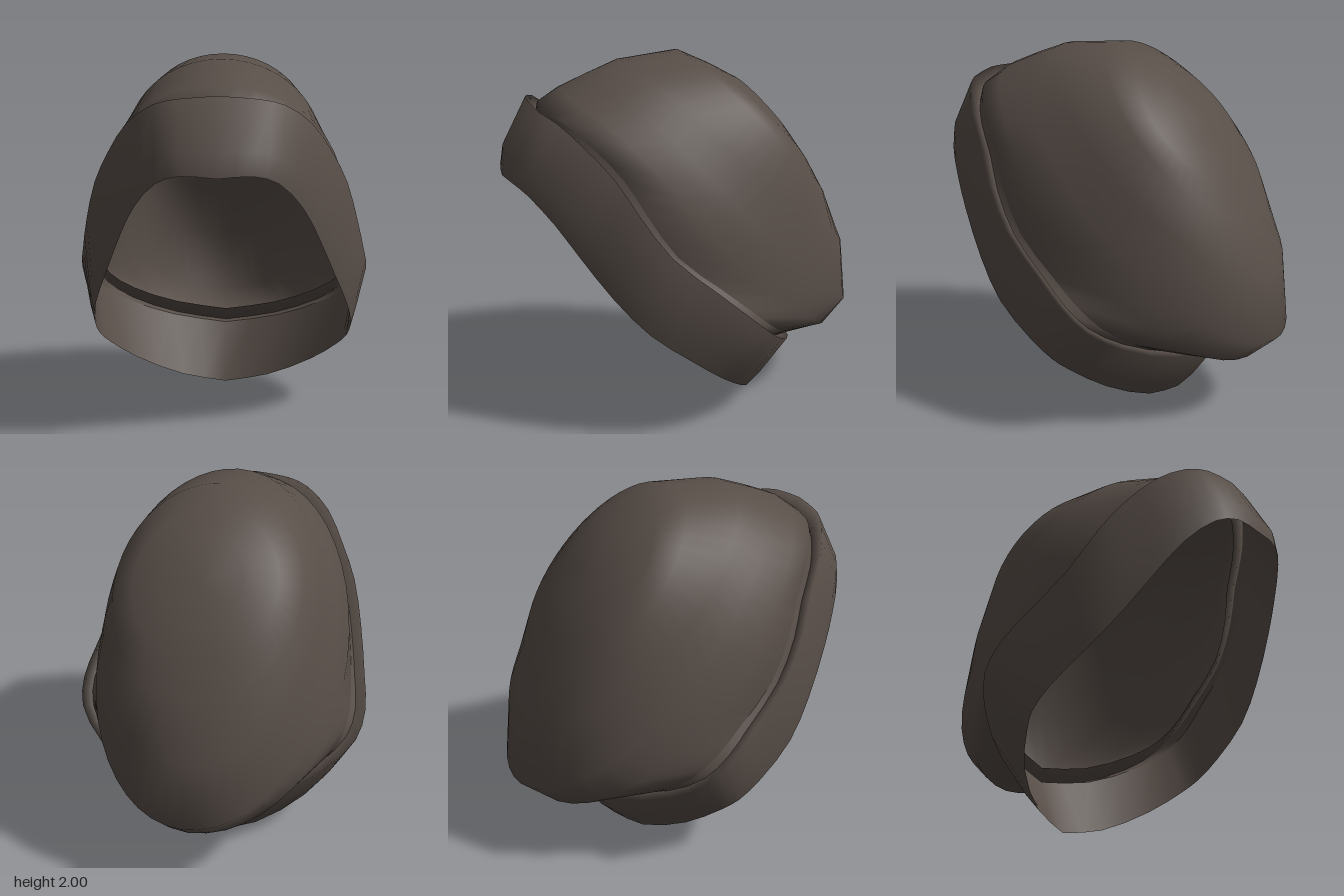
import * as THREE from 'three';

const HALF = 24; // segments along each half ring

// Half-ring guide points, front centre to back centre, on the +x side
const CUFF_TOP = [
  [0, 1.78, 0.84], [0.2, 1.765, 0.82], [0.33, 1.735, 0.76], [0.47, 1.64, 0.66], [0.58, 1.49, 0.53],
  [0.67, 1.32, 0.43], [0.74, 1.1, 0.28], [0.8, 0.9, 0.05], [0.83, 0.77, -0.1], [0.8, 0.65, -0.23],
  [0.65, 0.52, -0.37], [0.35, 0.38, -0.54], [0, 0.31, -0.62],
];
const CUFF_BOTTOM = [
  [0, 1.39, 1.0], [0.18, 1.4, 0.98], [0.3, 1.36, 0.92], [0.42, 1.23, 0.81], [0.5, 1.08, 0.71],
  [0.6, 0.85, 0.55], [0.68, 0.66, 0.38], [0.72, 0.5, 0.17], [0.71, 0.4, 0.04], [0.66, 0.33, -0.04],
  [0.52, 0.2, -0.19], [0.26, 0.06, -0.33], [0, 0, -0.39],
];

// Smooth a half ring
function sample(points) {
  const curve = new THREE.CatmullRomCurve3(points.map((p) => new THREE.Vector3(...p)));
  return Array.from({ length: HALF + 1 }, (_, i) => curve.getPoint(i / HALF));
}

// Join half rings, mirrored across x, into a skin
function loft(name, halfRings, material) {
  const pos = [], index = [], n = HALF * 2;
  for (const half of halfRings) {
    for (let i = 0; i < n; i++) {
      const p = half[i <= HALF ? i : n - i];
      const x = i === 0 || i === HALF ? 0 : p.x;
      pos.push(i <= HALF ? x : -x, p.y, p.z);
    }
  }
  for (let j = 0; j < halfRings.length - 1; j++) {
    for (let i = 0; i < n; i++) {
      const a = j * n + i, b = j * n + (i + 1) % n;
      index.push(a, b, b + n, a, b + n, a + n);
    }
  }
  const g = new THREE.BufferGeometry();
  g.setAttribute('position', new THREE.Float32BufferAttribute(pos, 3));
  g.setIndex(index);
  g.computeVertexNormals();
  const mesh = new THREE.Mesh(g, material);
  mesh.name = name;
  return mesh;
}

export function createModel() {
  const model = new THREE.Group();
  model.name = 'knitCap';
  const wool = new THREE.MeshStandardMaterial({ color: 0x584e48, side: THREE.DoubleSide });
  wool.name = 'brown wool';

  // Folded cuff: rounded outer face with a rolled top lip, and an inner face
  const top = sample(CUFF_TOP), bottom = sample(CUFF_BOTTOM);
  const bulge = new THREE.Vector3(1.01, 1, 1.03);
  const middle = top.map((p, i) => p.clone().lerp(bottom[i], 0.7).multiply(bulge));
  const centre = new THREE.Vector3(0, 1.0, 0.1);
  const innerTop = top.map((p) => p.clone().lerp(centre, 0.07).add(new THREE.Vector3(0, -0.025, 0)));
  const cuff = new THREE.Group();
  cuff.name = 'cuff';
  cuff.add(
    loft('cuffOuter', [bottom, middle, top, innerTop], wool),
    loft('cuffInner', [innerTop, bottom], wool),
  );
  model.add(cuff);

  // Crown: tilted rings between front and back points, rising to a pole.
  // Their outline changes from that of the cuff to an ellipse.
  // Each row: front z, front y, back z, back y, half width, sag of the sides, ellipse share
  const rows = [
    [0.72, 1.7, -0.57, 0.42, 0.71, 1.2, 0],
    [0.78, 1.75, -0.64, 0.335, 0.755, 1.1, 0.1],
    [0.67, 1.83, -0.86, 0.34, 0.715, 0.75, 0.9],
    [0.51, 1.9, -1.0, 0.47, 0.655, 0.4, 1],
    [0.34, 1.965, -0.96, 0.84, 0.58, 0.1, 1],
    [0, 2.0, -0.83, 1.13, 0.5, 0, 1],
    [-0.17, 1.92, -0.73, 1.32, 0.38, 0, 1],
    [-0.33, 1.83, -0.64, 1.47, 0.21, 0, 1],
    [-0.49, 1.65, -0.49, 1.65, 0, 0, 1],
  ];
  const front = top[0], chord = top[HALF].clone().sub(front);
  const len = chord.length();
  const normal = new THREE.Vector3(0, -chord.z, chord.y).divideScalar(len);
  const rings = rows.map(([fz, fy, bz, by, width, sag, ellipse]) => top.map((p, i) => {
    const d = p.clone().sub(front);
    const a = (i / HALF) * Math.PI;
    const along = THREE.MathUtils.lerp(d.dot(chord) / (len * len), (1 - Math.cos(a)) / 2, ellipse);
    const across = THREE.MathUtils.lerp(p.x / 0.83, Math.sin(a), ellipse);
    const off = d.dot(normal) * sag;
    return new THREE.Vector3(
      across * width,
      fy + (by - fy) * along + normal.y * off,
      fz + (bz - fz) * along + normal.z * off,
    );
  }));
  model.add(loft('crown', rings, wool));

  // Seam joining the cuff lining to the crown
  model.add(loft('seam', [innerTop, rings[1]], wool));

  return model;
}
